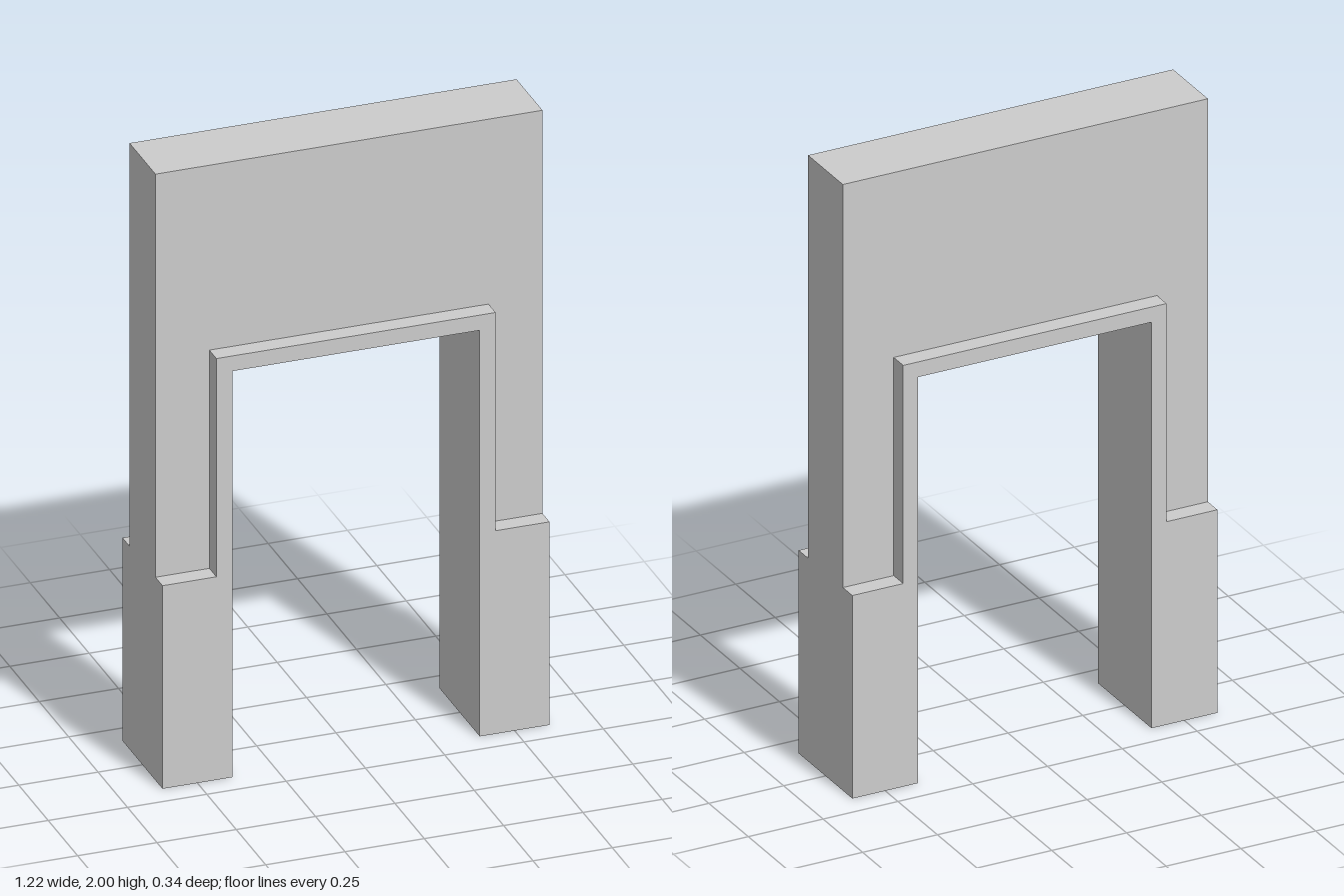
import * as THREE from 'three';

const W = 0.61;          // half width
const H = 2;             // full height
const OPEN_X = 0.39, OPEN_Y = 1.34;   // doorway opening
const TRIM_X = 0.44, TRIM_Y = 1.39;   // outer edge of the raised frame
const BASE_Y = 0.67;     // top of the wide leg bases
const WALL_Z = 0.11, TRIM_Z = 0.17;   // half depths

const material = new THREE.MeshStandardMaterial({
  color: 0xcccccc, flatShading: true, side: THREE.DoubleSide,
});

function addMesh(parent, name, geometry) {
  const mesh = new THREE.Mesh(geometry, material);
  mesh.name = name;
  parent.add(mesh);
}

// Flat face with the given outline, facing +z
function face(points, z) {
  const shape = new THREE.Shape(points.map(([x, y]) => new THREE.Vector2(x, y)));
  return new THREE.ShapeGeometry(shape).translate(0, 0, z);
}

// Ribbon of flat quads following an outline, spanning z0 to z1
function ribbon(points, z0, z1) {
  const pos = [];
  for (let i = 0; i < points.length - 1; i++) {
    const [ax, ay] = points[i], [bx, by] = points[i + 1];
    pos.push(ax, ay, z0, bx, by, z0, bx, by, z1, ax, ay, z0, bx, by, z1, ax, ay, z1);
  }
  const g = new THREE.BufferGeometry();
  g.setAttribute('position', new THREE.Float32BufferAttribute(pos, 3));
  g.computeVertexNormals();
  return g;
}

export function createModel() {
  const model = new THREE.Group();
  model.name = 'archway';

  const opening = [[-OPEN_X, 0], [-OPEN_X, OPEN_Y], [OPEN_X, OPEN_Y], [OPEN_X, 0]];
  const step = [[W, BASE_Y], [TRIM_X, BASE_Y], [TRIM_X, TRIM_Y],
    [-TRIM_X, TRIM_Y], [-TRIM_X, BASE_Y], [-W, BASE_Y]];

  // Front and back halves are identical; the feet stay open underneath
  for (const [name, turn] of [['frontHalf', 0], ['backHalf', Math.PI]]) {
    const half = new THREE.Group();
    half.name = name;
    half.rotation.y = turn;

    addMesh(half, 'upperWall', face([...step, [-W, H], [W, H]], WALL_Z));
    addMesh(half, 'doorFrameAndLegs', face([[W, 0], ...step, [-W, 0], ...opening], TRIM_Z));
    addMesh(half, 'frameLedge', ribbon(step, WALL_Z, TRIM_Z));
    addMesh(half, 'doorwayLining', ribbon(opening, 0, TRIM_Z));
    addMesh(half, 'wallSidesAndTop',
      ribbon([[W, BASE_Y], [W, H], [-W, H], [-W, BASE_Y]], 0, WALL_Z));
    addMesh(half, 'leftLegSide', ribbon([[W, 0], [W, BASE_Y]], 0, TRIM_Z));
    addMesh(half, 'rightLegSide', ribbon([[-W, BASE_Y], [-W, 0]], 0, TRIM_Z));
    model.add(half);
  }
  return model;
}
